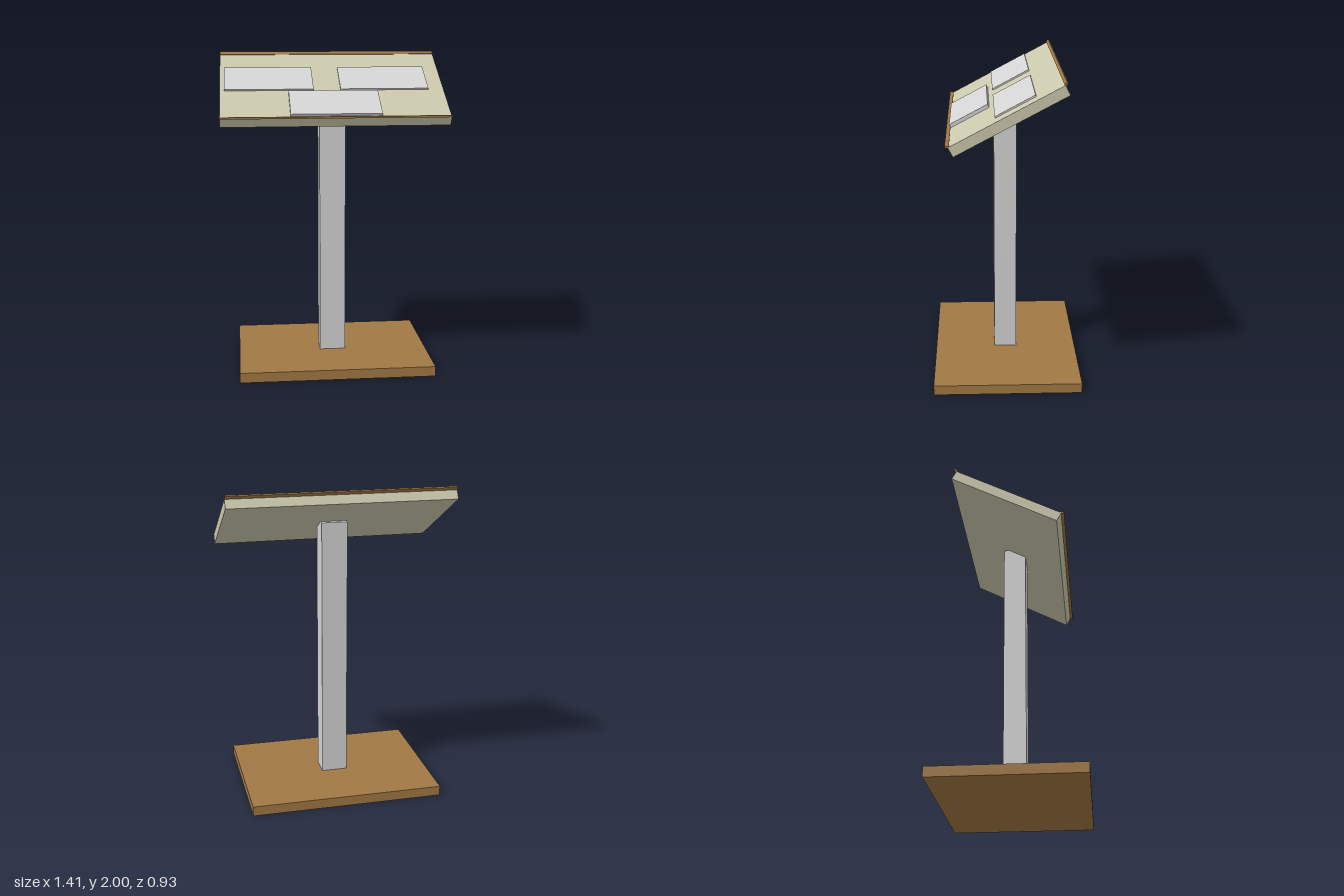
import * as THREE from 'three';

export function createModel() {
  const mat = (name, color) => {
    const m = new THREE.MeshStandardMaterial({ color });
    m.name = name;
    return m;
  };
  const wood = mat('brown wood', 0xa07843);
  const panel = mat('pale olive panel', 0xcac8ac);
  const grey = mat('light grey', 0xd4d4d4);

  const box = (parent, name, material, [w, h, d], [x, y, z]) => {
    const mesh = new THREE.Mesh(new THREE.BoxGeometry(w, h, d), material);
    mesh.name = name;
    mesh.position.set(x, y, z);
    parent.add(mesh);
    return mesh;
  };

  const model = new THREE.Group();
  model.name = 'lectern';

  // Floor plate and post
  box(model, 'base', wood, [1.23, 0.063, 0.93], [0, 0.0315, 0]);
  box(model, 'post', grey, [0.165, 1.7, 0.144], [-0.001, 0.91, 0.002]);

  // Tilted desk, low edge at the front
  const desk = new THREE.Group();
  desk.name = 'desk';
  desk.position.set(0, 1.777, 0.002);
  desk.rotation.x = THREE.MathUtils.degToRad(28.1);
  model.add(desk);
  box(desk, 'deskBoard', panel, [1.415, 0.063, 0.743], [0, 0, 0]);

  // Flat sheets lying on the desk
  const sheet = [0.56, 0.022, 0.262];
  box(desk, 'rightSheet', grey, sheet, [-0.4, 0.03, -0.066]);
  box(desk, 'leftSheet', grey, sheet, [0.33, 0.03, -0.066]);
  box(desk, 'frontSheet', grey, sheet, [0, 0.042, 0.23]);

  // Thin ledges along the low and high edges
  box(model, 'frontLedge', wood, [1.415, 0.011, 0.024], [0, 1.633, 0.35]);
  const backLedge = box(model, 'backLedge', wood, [1.415, 0.011, 0.022], [0, 1.988, -0.316]);
  backLedge.rotation.x = THREE.MathUtils.degToRad(55);

  return model;
}
